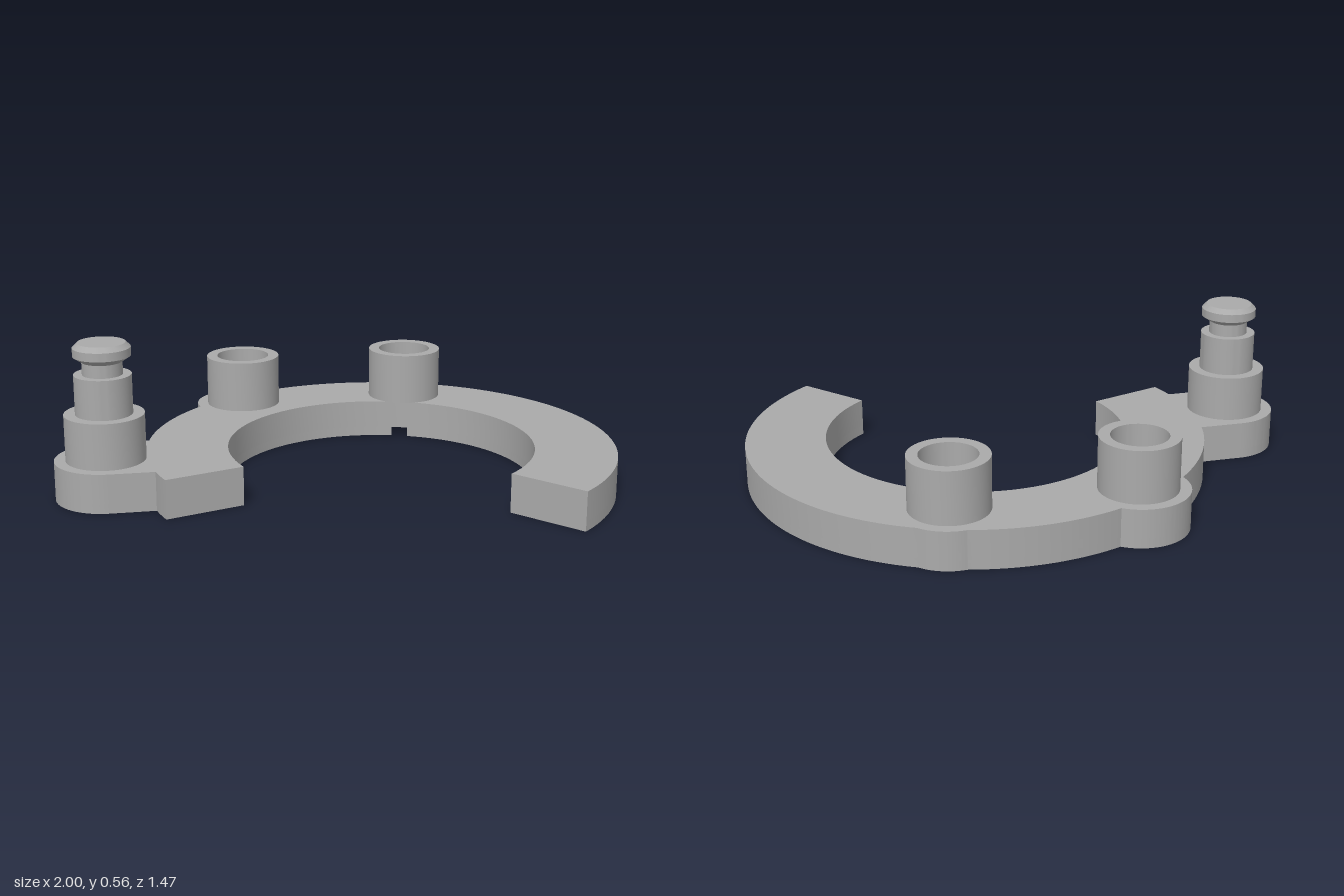
import * as THREE from 'three';
import { toCreasedNormals } from 'three/addons/utils/BufferGeometryUtils.js';

// Plan coordinates: x right, y towards the back (-z)
const CX = 0.16, CY = -0.10, OUTER = 0.84, INNER = 0.55;
const START = THREE.MathUtils.degToRad(-48.9), END = THREE.MathUtils.degToRad(198.9);
const PLATE = 0.14, RECESS = 0.035, TUBE_TOP = 0.33;
const EAR = 0.18, HOLE = 0.10, BORE = 0.13, TUBE = 0.14;
const BOSSES = [[0.39, 0.535], [-0.26, 0.535]];
const POST = [-0.82, -0.10];

// Where a circle of radius r around (x, y) crosses a ring edge of radius R
function crossing([x, y], r, R) {
  const d = Math.hypot(x - CX, y - CY);
  return {
    a: Math.atan2(y - CY, x - CX),
    h: Math.acos((d * d + R * R - r * r) / (2 * d * R)),
    sweep: Math.PI - Math.acos((d * d + r * r - R * R) / (2 * d * r)),
  };
}

// Open ring with two ears and the post lug; the recess may break the inner edge
function plateShape(holeRadius, notched) {
  const s = new THREE.Shape();
  let from = START;
  for (const b of BOSSES) {
    const { a, h, sweep } = crossing(b, EAR, OUTER);
    s.absarc(CX, CY, OUTER, from, a - h, false);
    s.absarc(b[0], b[1], EAR, a - sweep, a + sweep, false);
    from = a + h;
  }
  const lug = Math.asin(EAR / OUTER);
  s.absarc(CX, CY, OUTER, from, Math.PI - lug, false);
  s.absarc(POST[0], POST[1], EAR, Math.PI / 2, Math.PI * 1.5, false);
  s.absarc(CX, CY, OUTER, Math.PI + lug, END, false);
  if (notched) {
    const b = BOSSES[0], { a, h, sweep } = crossing(b, holeRadius, INNER);
    s.absarc(CX, CY, INNER, END, a + h, true);
    s.absarc(b[0], b[1], holeRadius, a + sweep, a - sweep, true);
    s.absarc(CX, CY, INNER, a - h, START, true);
  } else {
    s.absarc(CX, CY, INNER, END, START, true);
  }
  for (const b of notched ? BOSSES.slice(1) : BOSSES) {
    s.holes.push(new THREE.Path().absarc(b[0], b[1], holeRadius, 0, Math.PI * 2, true));
  }
  return s;
}

// Extrude a plan shape upwards between two heights
function slab(shape, y0, y1) {
  const g = new THREE.ExtrudeGeometry(shape, { depth: y1 - y0, bevelEnabled: false, curveSegments: 32 });
  g.rotateX(-Math.PI / 2).translate(0, y0, 0);
  return toCreasedNormals(g, 0.5);
}

export function createModel() {
  const group = new THREE.Group();
  const grey = new THREE.MeshStandardMaterial({ color: 0xaaaaaa });
  grey.name = 'plain grey';
  const add = (name, geometry) => {
    const mesh = new THREE.Mesh(geometry, grey);
    mesh.name = name;
    group.add(mesh);
    return mesh;
  };

  // Plate in two layers, the lower one with wider recesses
  add('plateRecessLayer', slab(plateShape(BORE, true), 0, RECESS));
  add('plateUpperLayer', slab(plateShape(HOLE, false), RECESS, PLATE));

  // Hollow bosses
  BOSSES.forEach(([x, y], i) => {
    const s = new THREE.Shape().absarc(x, y, TUBE, 0, Math.PI * 2, false);
    s.holes.push(new THREE.Path().absarc(x, y, HOLE, 0, Math.PI * 2, true));
    add(i ? 'rightBoss' : 'leftBoss', slab(s, PLATE, TUBE_TOP));
  });

  // Stepped post with a grooved neck and chamfered head
  const profile = [
    [0.14, PLATE], [0.14, 0.305], [0.10, 0.305], [0.10, 0.445], [0.07, 0.445],
    [0.07, 0.49], [0.10, 0.51], [0.10, 0.54], [0.083, 0.557], [0, 0.557],
  ].map(([r, y]) => new THREE.Vector2(r, y));
  const post = add('steppedPost', toCreasedNormals(new THREE.LatheGeometry(profile, 64), 0.5));
  post.position.set(POST[0], 0, -POST[1]);

  return group;
}
